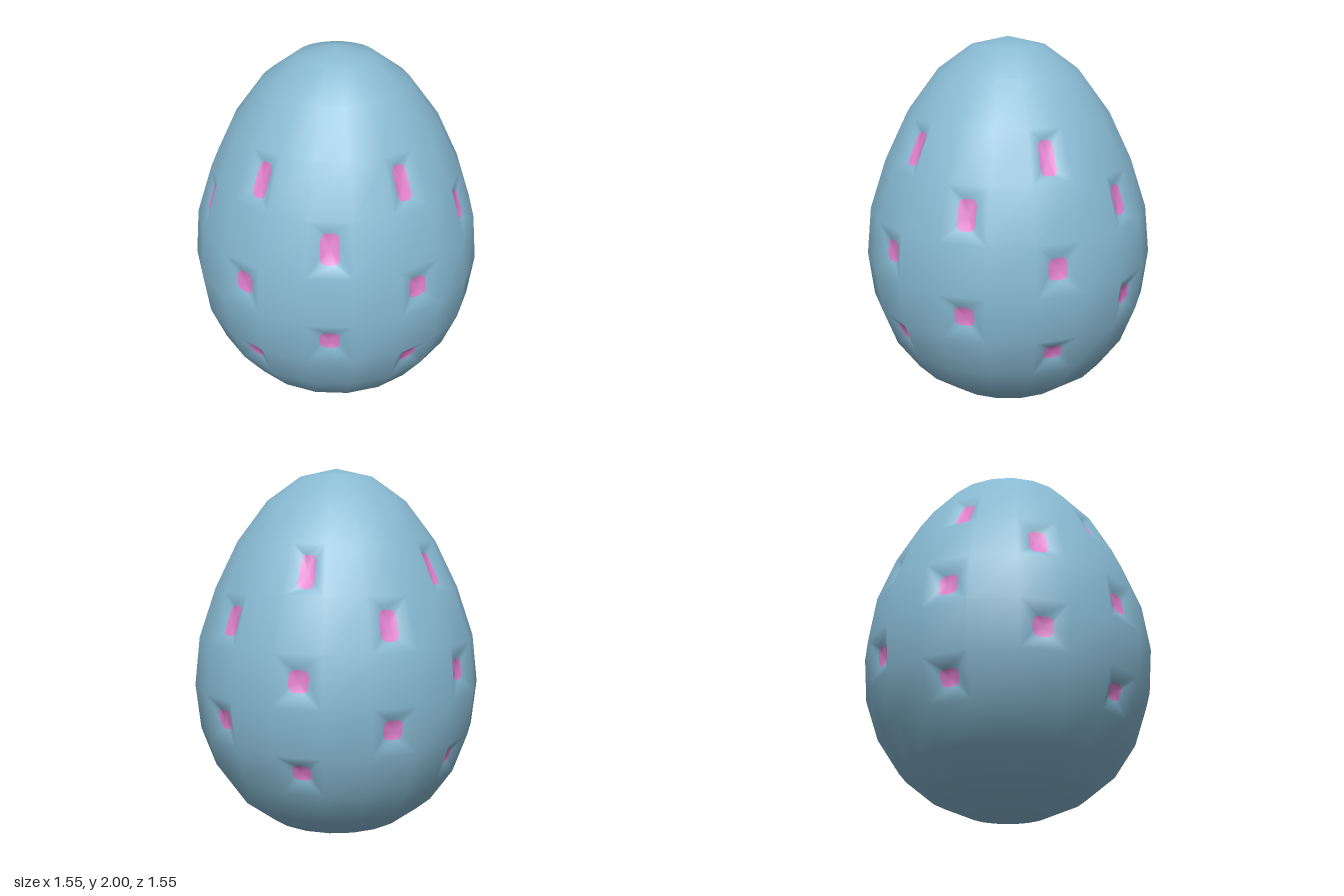
import * as THREE from 'three';

const SIDES = 20;
// [radius, height] of the egg rings, bottom to top (poles have radius 0)
const RINGS = [
  [0, 0], [0.2, 0.03], [0.395, 0.11], [0.555, 0.235], [0.675, 0.41], [0.75, 0.62], [0.775, 0.86],
  [0.745, 1.115], [0.655, 1.375], [0.533, 1.62], [0.372, 1.83], [0.193, 1.957], [0, 2],
];
// Rows of dimples: lower ring, first column, height of the spot as a share of its panel
const ROWS = [
  { ring: 4, col: 0, tall: 0.37 },
  { ring: 5, col: 2, tall: 0.41 },
  { ring: 6, col: 0, tall: 0.42 },
  { ring: 7, col: 2, tall: 0.56 },
  { ring: 8, col: 0, tall: 0.64 },
];
const SPOT_WIDTH = 0.42, DEPTH = 0.03, CORNER_POINTS = 3;

export function createModel() {
  const points = [], shell = [], spots = [];
  const add = (p) => points.push(p) - 1;

  // Shared ring vertices; each pole is a single vertex
  const grid = RINGS.map(([r, y]) => {
    if (r === 0) return new Array(SIDES).fill(add(new THREE.Vector3(0, y, 0)));
    return Array.from({ length: SIDES }, (_, j) => {
      const a = (j / SIDES) * Math.PI * 2;
      return add(new THREE.Vector3(r * Math.sin(a), y, r * Math.cos(a)));
    });
  });

  const tri = (list, a, b, c) => {
    if (a !== b && b !== c && a !== c) list.push(a, b, c);
  };

  // Sunken panel: walls slope from the four panel corners to a rounded spot
  function dimple(corners, tall) {
    const [a, b, c, d] = corners.map((k) => points[k]);
    const normal = c.clone().sub(a).cross(d.clone().sub(b)).normalize();
    const place = (u, v) => add(
      a.clone().lerp(b, u).lerp(d.clone().lerp(c, u), v).addScaledVector(normal, -DEPTH));
    const signs = [[-1, -1], [1, -1], [1, 1], [-1, 1]];
    const hu = SPOT_WIDTH / 2, hv = tall / 2;
    const ru = hu * 0.55, rv = Math.min(hv, hu) * 0.55;
    const arcs = signs.map(([su, sv], q) => Array.from({ length: CORNER_POINTS }, (_, k) => {
      const t = Math.PI * (1 + q / 2 + k / (CORNER_POINTS - 1) / 2);
      return place(
        0.5 + su * (hu - ru) + ru * Math.cos(t),
        0.5 + sv * (hv - rv) + rv * Math.sin(t));
    }));
    const centre = place(0.5, 0.5);
    const loop = arcs.flat();
    loop.forEach((p, k) => tri(spots, centre, p, loop[(k + 1) % loop.length]));
    arcs.forEach((arc, q) => {
      const next = (q + 1) % 4;
      for (let k = 0; k < arc.length - 1; k++) tri(shell, corners[q], arc[k + 1], arc[k]);
      const end = arc[arc.length - 1];
      tri(shell, corners[q], corners[next], arcs[next][0]);
      tri(shell, corners[q], arcs[next][0], end);
    });
  }

  // Panels of the egg, every fourth one dimpled in the patterned rows
  for (let i = 0; i < RINGS.length - 1; i++) {
    const row = ROWS.find((r) => r.ring === i);
    for (let j = 0; j < SIDES; j++) {
      const n = (j + 1) % SIDES;
      const corners = [grid[i][j], grid[i][n], grid[i + 1][n], grid[i + 1][j]];
      if (row && j % 4 === row.col) {
        dimple(corners, row.tall);
      } else {
        tri(shell, corners[0], corners[1], corners[2]);
        tri(shell, corners[0], corners[2], corners[3]);
      }
    }
  }

  // Smooth normals run across shell and spots together
  const whole = new THREE.BufferGeometry().setFromPoints(points);
  whole.setIndex([...shell, ...spots]);
  whole.computeVertexNormals();

  const group = new THREE.Group();
  group.name = 'egg';
  const part = (name, index, color) => {
    const geometry = new THREE.BufferGeometry();
    geometry.setAttribute('position', whole.attributes.position);
    geometry.setAttribute('normal', whole.attributes.normal);
    geometry.setIndex(index);
    const mesh = new THREE.Mesh(geometry, new THREE.MeshStandardMaterial({ color }));
    mesh.name = name;
    group.add(mesh);
  };
  part('shell', shell, 0x87b9d2);
  part('spots', spots, 0xe080cc);
  return group;
}
